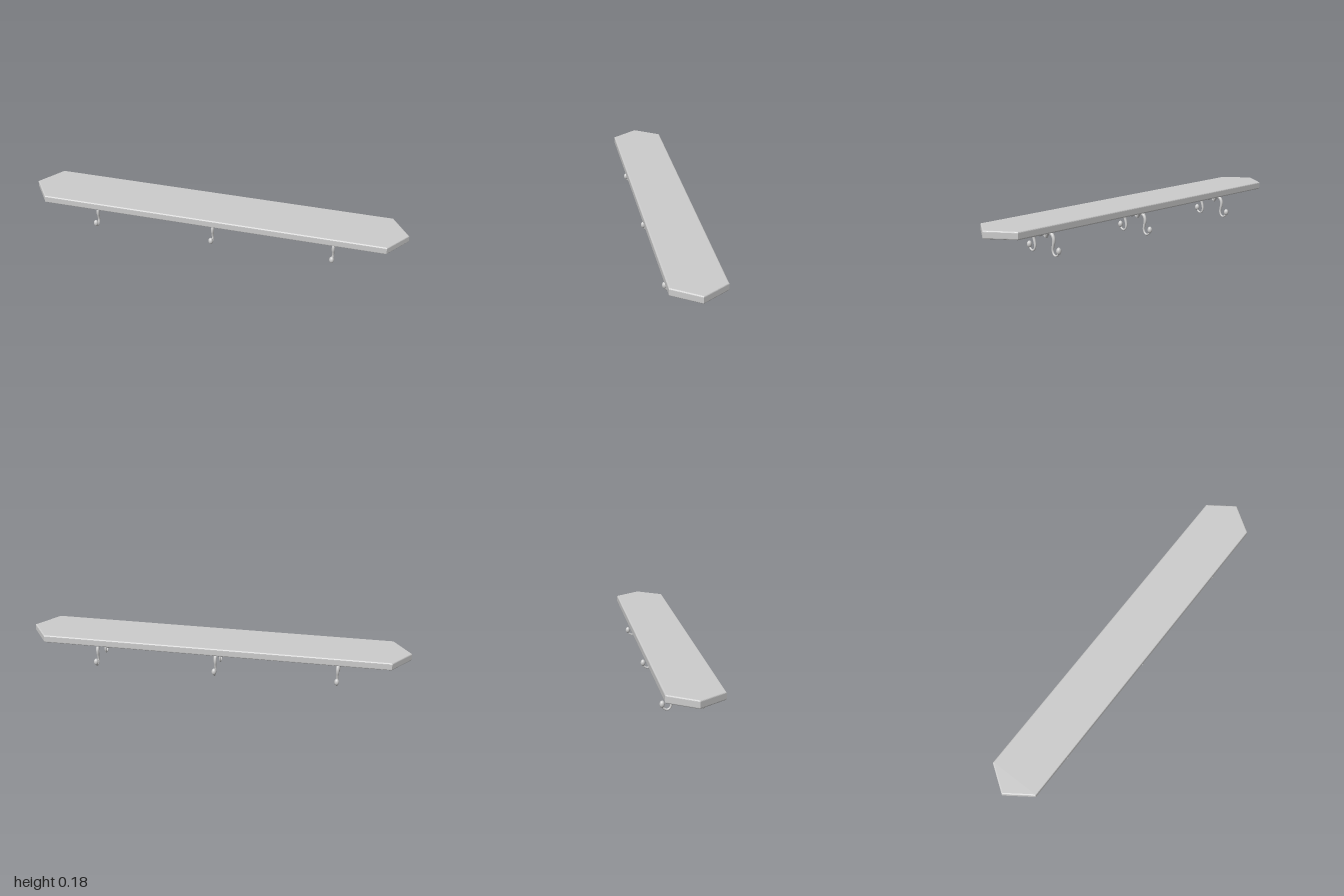
import * as THREE from 'three';

const material = new THREE.MeshStandardMaterial({ color: 0xcccccc });

function addMesh(parent, name, geometry) {
  const mesh = new THREE.Mesh(geometry, material);
  mesh.name = name;
  parent.add(mesh);
  return mesh;
}

// Long plank with pointed ends and softly rounded edges
function boardGeometry() {
  const bevel = 0.007, bottom = 0.138, height = 0.04;
  const outline = [[1, 0], [0.905, 0.137], [-0.905, 0.137], [-1, 0], [-0.905, -0.137], [0.905, -0.137]];
  const shape = new THREE.Shape(outline.map(([x, z]) => new THREE.Vector2(x, z)));
  const geometry = new THREE.ExtrudeGeometry(shape, {
    depth: height - 2 * bevel, bevelThickness: bevel, bevelSize: bevel, bevelOffset: -bevel, bevelSegments: 4,
  });
  return geometry.rotateX(-Math.PI / 2).translate(0, bottom + bevel, 0);
}

// S-shaped hook centreline, from the root out to the knob
const hookCurve = new THREE.CatmullRomCurve3([
  [0.094, 0.015], [0.110, 0.028], [0.1165, 0.046], [0.106, 0.064], [0.090, 0.072], [0.073, 0.0725],
  [0.052, 0.067], [0.032, 0.064], [0.015, 0.070], [0.0075, 0.082], [0.011, 0.095], [0.020, 0.104], [0.033, 0.107],
].map(([y, z]) => new THREE.Vector3(0, y, z)));

// Tube that thins from root to tip
function taperedTube(curve, startRadius, endRadius) {
  const steps = 64, sides = 16;
  const geometry = new THREE.TubeGeometry(curve, steps, startRadius, sides);
  const position = geometry.attributes.position;
  const vertex = new THREE.Vector3();
  for (let i = 0; i <= steps; i++) {
    const t = i / steps, centre = curve.getPointAt(t);
    const scale = THREE.MathUtils.lerp(1, endRadius / startRadius, Math.min(1, t / 0.75));
    for (let j = 0; j <= sides; j++) {
      const k = i * (sides + 1) + j;
      vertex.fromBufferAttribute(position, k).sub(centre).multiplyScalar(scale).add(centre);
      position.setXYZ(k, vertex.x, vertex.y, vertex.z);
    }
  }
  return geometry;
}

function createHook() {
  const hook = new THREE.Group();
  addMesh(hook, 'hookStem', taperedTube(hookCurve, 0.0115, 0.005));

  // Flat face closing the root of the stem
  const cap = addMesh(hook, 'hookRootCap', new THREE.CircleGeometry(0.0115, 16));
  const root = hookCurve.getPointAt(0);
  cap.position.copy(root);
  cap.lookAt(root.clone().sub(hookCurve.getTangentAt(0)));

  // Egg-shaped knob on the tip
  const knob = addMesh(hook, 'hookKnob', new THREE.SphereGeometry(1, 20, 14));
  knob.scale.set(0.0125, 0.0175, 0.0125);
  knob.position.set(0, 0.035, 0.107);
  return hook;
}

export function createModel() {
  const model = new THREE.Group();
  model.name = 'hookRack';
  addMesh(model, 'board', boardGeometry());

  // Three back-to-back pairs of hooks
  for (const x of [-0.635, 0, 0.635]) {
    for (const side of [1, -1]) {
      const hook = createHook();
      hook.name = side > 0 ? 'frontHook' : 'backHook';
      hook.position.x = x;
      hook.rotation.y = side > 0 ? 0 : Math.PI;
      model.add(hook);
    }
  }
  return model;
}
